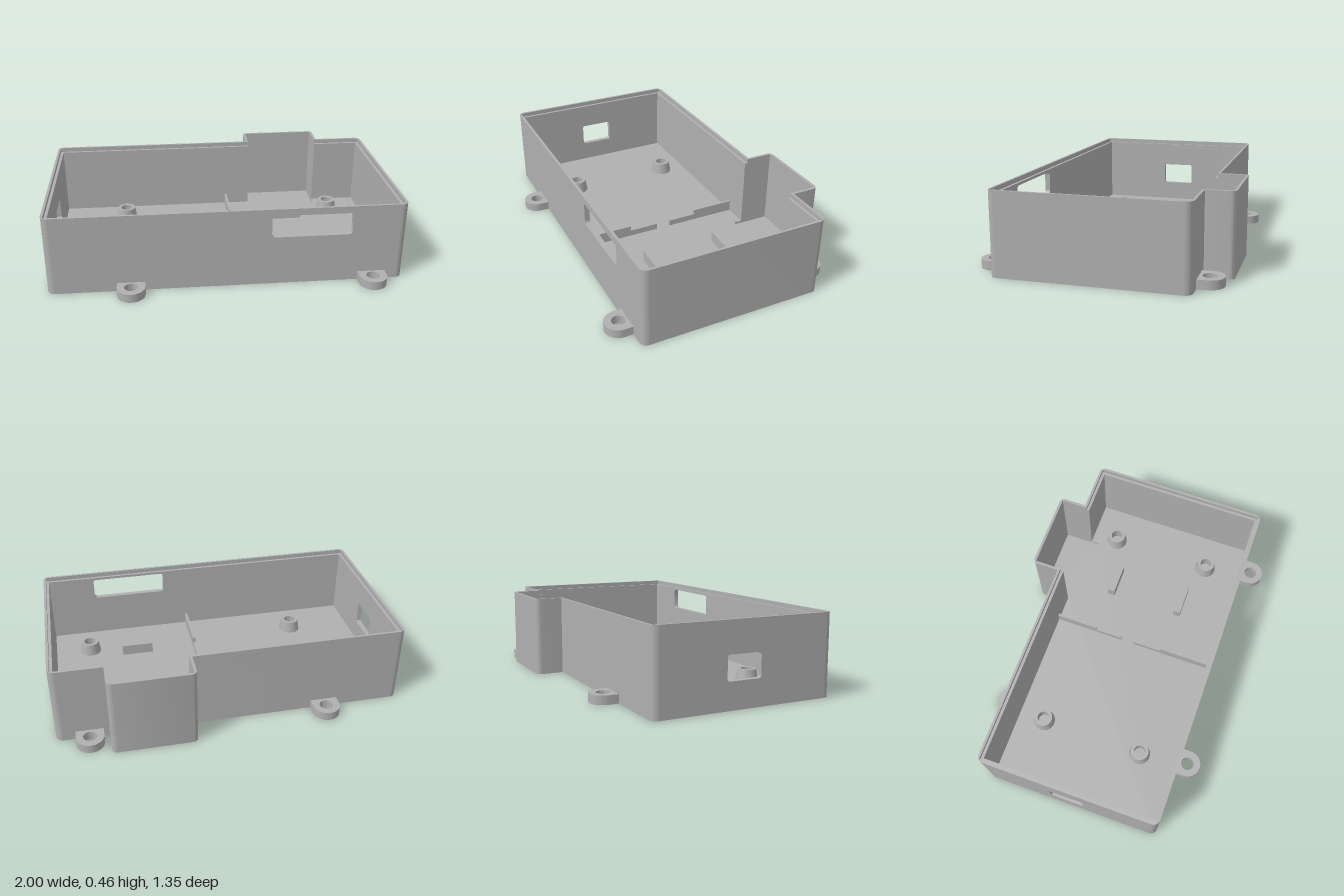
import * as THREE from 'three';
import { toCreasedNormals } from 'three/addons/utils/BufferGeometryUtils.js';

const WALL = 0.03, BASE = 0.015, FLOOR = 0.03, LEDGE = 0.435, TOP = 0.46;
const FRONT = 0.545, BACK = 0.515; // distances of the outer walls from z = 0

export function createModel() {
  const model = new THREE.Group();
  model.name = 'enclosureBase';
  const grey = new THREE.MeshStandardMaterial({ color: 0xb0b0b0 });
  grey.name = 'grey plastic';

  const add = (name, geometry) => {
    const mesh = new THREE.Mesh(toCreasedNormals(geometry, 0.6), grey);
    mesh.name = name;
    model.add(mesh);
    return mesh;
  };
  const extrude = (shape, depth) =>
    new THREE.ExtrudeGeometry(shape, { depth, bevelEnabled: false, curveSegments: 12 });
  // Plan shapes use (x, -z); they are raised from y0 to y1
  const prism = (name, shape, y0, y1) =>
    add(name, extrude(shape, y1 - y0).rotateX(-Math.PI / 2).translate(0, y0, 0));
  const block = (name, x0, x1, y0, y1, z0, z1) =>
    add(name, new THREE.BoxGeometry(x1 - x0, y1 - y0, z1 - z0)
      .translate((x0 + x1) / 2, (y0 + y1) / 2, (z0 + z1) / 2));
  const polygon = (points) => new THREE.Shape(points.map(([x, y]) => new THREE.Vector2(x, y)));
  const roundedHole = (x0, x1, y0, y1, r) => {
    const p = new THREE.Path();
    p.absarc(x0 + r, y0 + r, r, Math.PI, 1.5 * Math.PI);
    p.absarc(x1 - r, y0 + r, r, 1.5 * Math.PI, 2 * Math.PI);
    p.absarc(x1 - r, y1 - r, r, 0, 0.5 * Math.PI);
    p.absarc(x0 + r, y1 - r, r, 0.5 * Math.PI, Math.PI);
    p.closePath();
    return p;
  };

  // Outer edge from the back left corner, round the rear bay, to the front right corner
  const R = 0.04, H = Math.PI / 2;
  const outerEdge = () => {
    const s = new THREE.Shape();
    s.absarc(-1 + R, BACK - R, R, Math.PI, H, true);
    s.lineTo(0.23, BACK);
    s.absarc(0.26, 0.645, 0.03, Math.PI, H, true);
    s.absarc(0.675, 0.645, 0.03, H, 0, true);
    s.lineTo(0.705, BACK);
    s.absarc(1 - R, BACK - R, R, H, 0, true);
    s.absarc(1 - R, -FRONT + R, R, 0, -H, true);
    return s;
  };
  const footprint = () => {
    const s = outerEdge();
    s.absarc(-1 + R, -FRONT + R, R, -H, -Math.PI, true);
    s.closePath();
    return s;
  };

  // Base slab, and the inner floor that leaves the bay recessed
  const ix = 1 - WALL, iF = -FRONT + WALL, iB = BACK - WALL;
  prism('baseSlab', footprint(), 0, BASE);
  prism('innerFloor', polygon([
    [-ix, iF], [ix, iF], [ix, iB], [0.69, iB], [0.69, 0.435],
    [0.245, 0.435], [0.245, iB], [-ix, iB],
  ]), BASE, FLOOR);

  // Back, bay and side walls as one band
  const band = outerEdge();
  for (const [x, y] of [
    [1 - R, iF], [ix, iF], [ix, iB], [0.69, iB], [0.69, 0.66],
    [0.245, 0.66], [0.245, iB], [-ix, iB], [-ix, BACK - R],
  ]) band.lineTo(x, y);
  band.closePath();
  prism('backAndSideWall', band, BASE, LEDGE);

  // Remaining front corner
  const corner = new THREE.Shape();
  corner.absarc(-1 + R, -FRONT + R, R, -H, -Math.PI, true);
  corner.lineTo(-ix, -FRONT + R);
  corner.lineTo(-ix, iF);
  corner.lineTo(-1 + R, iF);
  corner.closePath();
  prism('frontCorner', corner, BASE, LEDGE);

  // Front wall with its long opening
  const frontPanel = polygon([[-1 + R, BASE], [1 - R, BASE], [1 - R, LEDGE], [-1 + R, LEDGE]]);
  frontPanel.holes.push(roundedHole(0.24, 0.69, 0.29, 0.42, 0.018));
  add('frontWall', extrude(frontPanel, WALL).translate(0, 0, FRONT - WALL));

  // End wall with its small opening, drawn in (z, y) and turned to face -x
  const endPanel = polygon([[-BACK + R, BASE], [FRONT - R, BASE], [FRONT - R, LEDGE], [-BACK + R, LEDGE]]);
  endPanel.holes.push(roundedHole(-0.1, 0.1, 0.15, 0.285, 0.012));
  add('endWall', extrude(endPanel, WALL).rotateY(-Math.PI / 2).translate(-1 + WALL, 0, 0));

  // Thinner rim above the inner ledge
  const t = 0.014;
  const rim = footprint();
  rim.holes.push(polygon([
    [-1 + t, -FRONT + t], [1 - t, -FRONT + t], [1 - t, BACK - t], [0.69, BACK - t],
    [0.69, 0.66], [0.245, 0.66], [0.245, BACK - t], [-1 + t, BACK - t],
  ]));
  prism('rim', rim, LEDGE, TOP);

  // Mounting ears along the front and back
  for (const x of [-0.54, 0.815]) {
    for (const [side, y, wall] of [['front', -0.595, -FRONT], ['back', 0.57, BACK]]) {
      const start = side === 'front' ? Math.PI : 0;
      const ear = new THREE.Shape();
      ear.absarc(x, y, 0.078, start, start + Math.PI);
      ear.lineTo(x + (side === 'front' ? 0.078 : -0.078), wall);
      ear.lineTo(x - (side === 'front' ? 0.078 : -0.078), wall);
      ear.closePath();
      const hole = new THREE.Path();
      hole.absarc(x, y, 0.038, 0, Math.PI * 2, true);
      ear.holes.push(hole);
      prism(side + 'MountingEar', ear, 0, 0.05);
    }
  }

  // Screw bosses
  const bossProfile = [[0.065, FLOOR], [0.054, 0.1], [0.035, 0.1], [0.035, FLOOR]]
    .map(([r, y]) => new THREE.Vector2(r, y));
  for (const x of [-0.575, 0.755]) {
    for (const z of [-0.325, 0.3]) {
      add('screwBoss', new THREE.LatheGeometry(bossProfile, 32)).position.set(x, 0, z);
    }
  }

  // Stepped dividing rib with a notch in the middle
  for (const [z0, z1, y] of [
    [-iB, -0.225, 0.095], [-0.225, -0.055, 0.065], [0.03, 0.205, 0.065], [0.205, -iF, 0.095],
  ]) block('dividerRib', 0.085, 0.1, FLOOR, y, z0, z1);

  // Locating blocks
  for (const z of [-0.225, 0.225]) {
    block('locatingBlock', 0.365, 0.555, FLOOR, 0.095, z - 0.022, z + 0.022);
  }

  return model;
}
